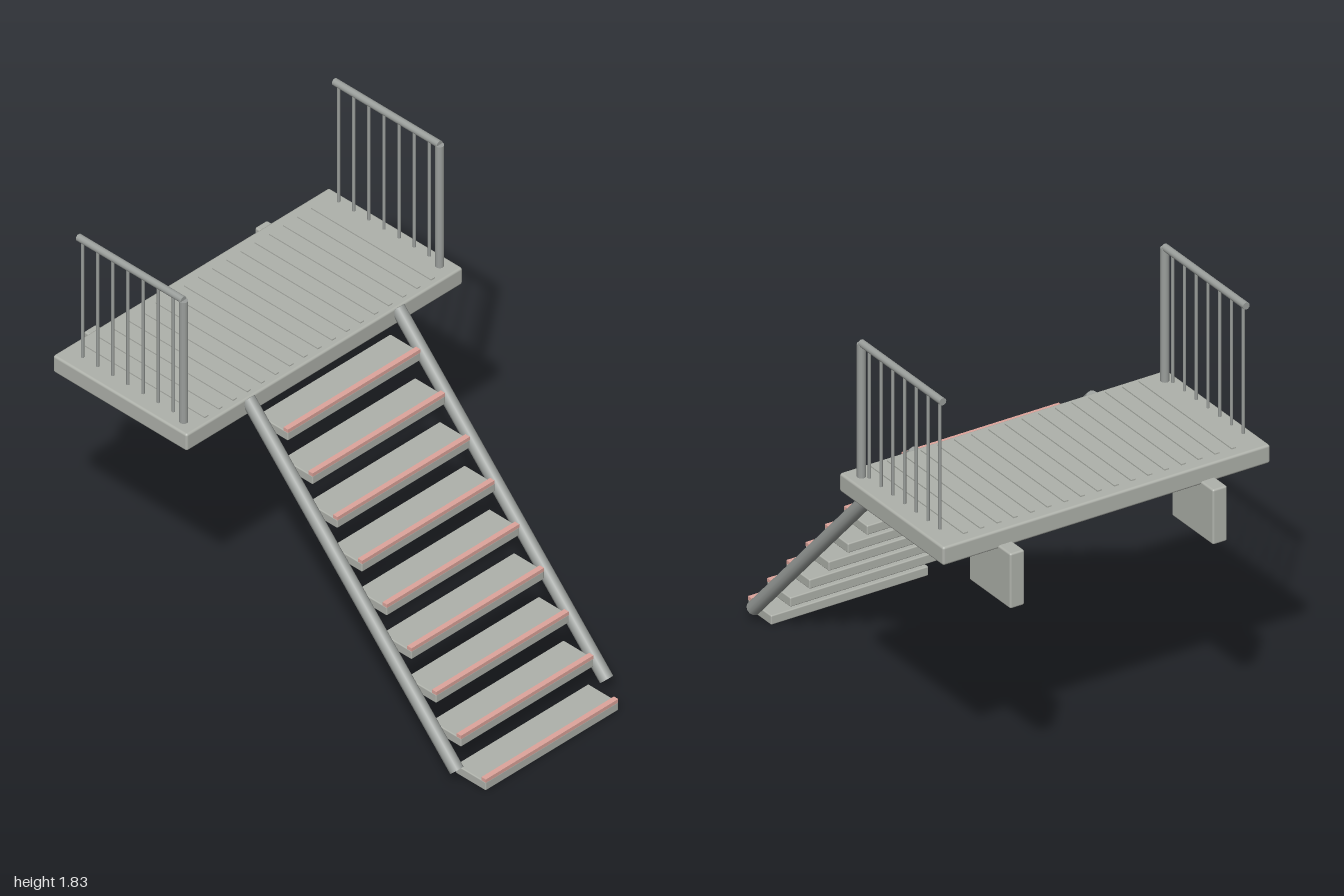
import * as THREE from 'three';
import { RoundedBoxGeometry } from 'three/addons/geometries/RoundedBoxGeometry.js';

const mat = (name, color) => {
  const m = new THREE.MeshStandardMaterial({ color });
  m.name = name;
  return m;
};

export function createModel() {
  const concrete = mat('concrete grey', 0xafb2ab);
  const steel = mat('steel grey', 0x9b9f9c);
  const red = mat('faded red', 0xdea59c);
  const model = new THREE.Group();
  model.name = 'stairLanding';

  const add = (name, geometry, material, x, y, z, parent = model) => {
    const mesh = new THREE.Mesh(geometry, material);
    mesh.name = name;
    mesh.position.set(x, y, z);
    parent.add(mesh);
    return mesh;
  };
  // Round bar between two points
  const bar = (name, a, b, r, sides, parent) => {
    const from = new THREE.Vector3(...a), to = new THREE.Vector3(...b);
    const dir = to.clone().sub(from);
    const mid = from.clone().add(to).multiplyScalar(0.5);
    const mesh = add(name, new THREE.CylinderGeometry(r, r, dir.length(), sides), steel, mid.x, mid.y, mid.z, parent);
    mesh.quaternion.setFromUnitVectors(new THREE.Vector3(0, 1, 0), dir.normalize());
  };

  // Landing slab with raised grip ribs
  add('platform', new RoundedBoxGeometry(1.476, 0.079, 0.71, 2, 0.01), concrete, 0, 1.203, -0.563);
  const ribGeometry = new THREE.BoxGeometry(0.02, 0.012, 0.635);
  for (let i = -8; i <= 8; i++) {
    add('gripRib', ribGeometry, concrete, i * 0.0756, 1.242, -0.552);
  }

  // Treads with a red nosing strip
  const treadGeometry = new RoundedBoxGeometry(0.71, 0.04, 0.16, 2, 0.005);
  const nosingGeometry = new THREE.BoxGeometry(0.708, 0.016, 0.023);
  for (let i = 0; i < 9; i++) {
    const step = new THREE.Group();
    step.name = 'step';
    step.position.set(0, i * 0.1365, 0.916 - i * 0.131);
    model.add(step);
    add('tread', treadGeometry, concrete, 0, 0.02, 0, step);
    add('nosing', nosingGeometry, red, 0, 0.045, 0.068, step);
  }

  for (const s of [-1, 1]) {
    // Sloping round stringer
    bar('stringer', [s * 0.4, 0.064, 0.888], [s * 0.4, 1.228, -0.219], 0.029, 12, model);

    // Wall bracket below the back edge
    add('bracket', new RoundedBoxGeometry(0.065, 0.236, 0.282, 2, 0.008), concrete, s * 0.457, 1.06, -0.859);

    // Guard rail with post and thin balusters
    const rail = new THREE.Group();
    rail.name = 'guardRail';
    model.add(rail);
    const x = s * 0.684;
    bar('post', [x, 1.235, -0.278], [x, 1.812, -0.278], 0.0178, 12, rail);
    bar('handrail', [x, 1.814, -0.278], [x, 1.814, -0.834], 0.0155, 12, rail);
    for (let i = 0; i < 7; i++) {
      const z = -0.332 - i * 0.0802;
      bar('baluster', [x, 1.26, z], [x, 1.81, z], 0.0065, 8, rail);
    }
  }
  return model;
}
